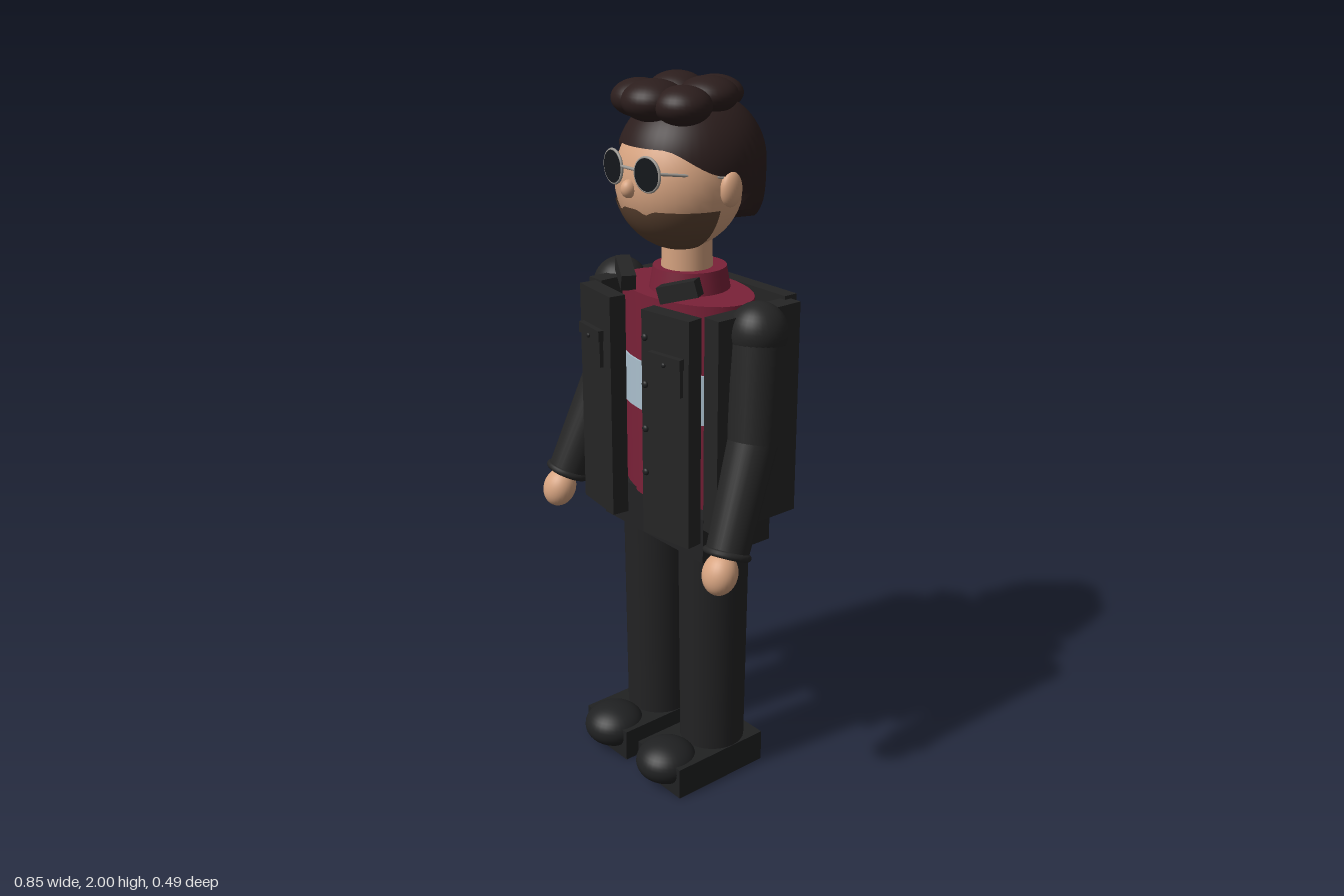
import * as THREE from 'three';
import { ParametricGeometry } from 'three/addons/geometries/ParametricGeometry.js';

const mat = (name, color, side = THREE.FrontSide) => {
  const m = new THREE.MeshStandardMaterial({ color, side });
  m.name = name;
  return m;
};

export function createModel() {
  const jacket = mat('jacket black', 0x252525);
  const trousers = mat('trouser black', 0x232324);
  const shoe = mat('shoe black', 0x202122);
  const red = mat('shirt red', 0x7a2138);
  const blue = mat('stripe pale blue', 0xabc0ce);
  const skin = mat('skin', 0xd6a380);
  const hair = mat('hair brown', 0x2c1e1d, THREE.DoubleSide);
  const beardMat = mat('beard brown', 0x5e4432, THREE.DoubleSide);
  const lens = mat('lens black', 0x14171b);
  const metal = mat('rim silver', 0x9a9690);

  const model = new THREE.Group();
  model.name = 'figure';

  const add = (name, geo, material, pos = [0, 0, 0], parent = model) => {
    const m = new THREE.Mesh(geo, material);
    m.name = name;
    m.position.set(...pos);
    parent.add(m);
    return m;
  };
  const box = (name, size, pos, material, parent) =>
    add(name, new THREE.BoxGeometry(...size), material, pos, parent);
  const ball = (name, radii, pos, material, parent) => {
    const m = add(name, new THREE.SphereGeometry(1, 32, 20), material, pos, parent);
    m.scale.set(...radii);
    return m;
  };
  const post = (name, rTop, rBottom, y0, y1, z, material, x = 0) =>
    add(name, new THREE.CylinderGeometry(rTop, rBottom, y1 - y0, 32), material, [x, (y0 + y1) / 2, z]);
  // Tapered limb from point a to point b
  const limb = (name, a, b, ra, rb, material) => {
    const A = new THREE.Vector3(...a), B = new THREE.Vector3(...b);
    const dir = A.clone().sub(B);
    const m = add(name, new THREE.CylinderGeometry(ra, rb, dir.length(), 28), material,
      A.add(B).multiplyScalar(0.5).toArray());
    m.quaternion.setFromUnitVectors(new THREE.Vector3(0, 1, 0), dir.normalize());
    return m;
  };

  // Pelvis, torso, chest stripe and roll collar
  box('pelvis', [0.44, 0.13, 0.245], [0, 0.795, -0.022], trousers);
  post('shirt', 0.225, 0.215, 0.85, 1.44, -0.025, red).scale.z = 0.62;
  post('chestStripe', 0.227, 0.225, 1.11, 1.25, -0.025, blue).scale.z = 0.63;
  post('shirtCollar', 0.1, 0.112, 1.43, 1.5, -0.035, red);
  post('neck', 0.068, 0.07, 1.46, 1.6, -0.025, skin);

  // Jacket back
  box('jacketBack', [0.475, 0.63, 0.042], [0, 1.125, -0.185], jacket);

  for (const s of [1, -1]) {
    const side = s > 0 ? 'left' : 'right';

    // Legs and shoes
    post(side + 'Leg', 0.1, 0.094, 0.05, 0.78, -0.02, trousers, s * 0.125);
    box(side + 'Sole', [0.192, 0.095, 0.315], [s * 0.125, 0.0475, 0.025], shoe);
    ball(side + 'Toe', [0.088, 0.062, 0.09], [s * 0.125, 0.072, 0.153], shoe);

    // Jacket side and front panels with pocket
    box(side + 'JacketSide', [0.055, 0.6, 0.285], [s * 0.247, 1.13, -0.043], jacket);
    const front = new THREE.Group();
    front.name = side + 'JacketFront';
    front.position.set(s * 0.147, 1.115, 0.15);
    front.rotation.y = s * 0.14;
    model.add(front);
    box('panel', [0.166, 0.635, 0.048], [0, 0, 0], jacket, front);
    box('pocket', [0.105, 0.1, 0.014], [s * 0.01, 0.16, 0.028], jacket, front);
    box('pocketFlap', [0.112, 0.03, 0.02], [s * 0.01, 0.2, 0.03], jacket, front);
    ball('pocketButton', [0.007, 0.007, 0.005], [s * 0.01, 0.19, 0.041], shoe, front);
    if (s > 0) for (const y of [0.245, 0.115, -0.01, -0.135])
      ball('frontButton', [0.01, 0.01, 0.007], [-0.07, y, 0.026], shoe, front);

    // Upturned lapel
    box(side + 'Lapel', [0.11, 0.045, 0.04], [s * 0.115, 1.475, 0.095], jacket)
      .rotation.set(0, s * 0.5, s * 0.28);

    // Arm, cuff and hand
    const shoulder = [s * 0.29, 1.385, -0.022];
    const elbow = [s * 0.322, 1.1, 0.018];
    const wrist = [s * 0.358, 0.825, 0.135];
    ball(side + 'Shoulder', [0.079, 0.079, 0.079], shoulder, jacket);
    limb(side + 'UpperArm', shoulder, elbow, 0.073, 0.067, jacket);
    ball(side + 'Elbow', [0.067, 0.067, 0.067], elbow, jacket);
    const fore = limb(side + 'Forearm', elbow, wrist, 0.067, 0.058, jacket);
    const cuff = add(side + 'Cuff', new THREE.TorusGeometry(0.056, 0.01, 10, 32).rotateX(Math.PI / 2), jacket, wrist);
    cuff.quaternion.copy(fore.quaternion);
    const hand = ball(side + 'Hand', [0.05, 0.058, 0.046], [s * 0.363, 0.777, 0.163], skin);
    hand.quaternion.copy(fore.quaternion);

    // Ear, round dark lens and temple
    ball(side + 'Ear', [0.022, 0.046, 0.033], [s * 0.18, 1.735, -0.02], skin);
    const glass = new THREE.Group();
    glass.name = side + 'Glass';
    glass.position.set(s * 0.07, 1.778, 0.163);
    glass.rotation.y = s * 0.12;
    model.add(glass);
    add('lens', new THREE.CylinderGeometry(0.042, 0.042, 0.008, 32).rotateX(Math.PI / 2), lens, [0, 0, 0], glass);
    add('rim', new THREE.TorusGeometry(0.043, 0.004, 8, 36), metal, [0, 0, 0], glass);
    limb(side + 'Temple', [s * 0.112, 1.785, 0.157], [s * 0.18, 1.765, -0.01], 0.004, 0.004, metal);
  }
  limb('glassesBridge', [-0.03, 1.785, 0.168], [0.03, 1.785, 0.168], 0.004, 0.004, metal);

  // Head and nose
  ball('head', [0.177, 0.182, 0.168], [0, 1.737, 0], skin);
  ball('nose', [0.02, 0.024, 0.022], [0, 1.732, 0.168], skin);

  // Shell over an ellipsoid between two heights that vary with the angle from the front
  const shell = (c, r, span, low, high, power) => new ParametricGeometry((u, v, out) => {
    const a = (u - 0.5) * span;
    const lo = low(Math.abs(a)), hi = high(Math.abs(a));
    const inner = power && v < 0.03; // folded-in lower rim
    const t0 = Math.asin((lo - c[1]) / r[1]), t1 = Math.asin(Math.min(1, (hi - c[1]) / r[1]));
    const h = Math.sin(t0 + (t1 - t0) * (inner ? 0 : v));
    let f = Math.sqrt(Math.max(0, 1 - h * h));
    if (power && h < 0) f = Math.pow(1 - h ** 4, power);
    if (inner) f *= 0.72;
    out.set(c[0] + r[0] * f * Math.sin(a), c[1] + r[1] * h, c[2] + r[2] * f * Math.cos(a));
  }, 48, 32);

  const step = THREE.MathUtils.smoothstep;
  const hairline = a => 1.83 - 0.07 * step(a, 0.5, 1.4) - 0.125 * step(a, 1.6, 2.1);
  add('hairCap', shell([0, 1.78, -0.04], [0.186, 0.185, 0.204], Math.PI * 2, hairline, () => 1.965, 0.3), hair);
  const beardTop = a => 1.682 - 0.012 * Math.exp(-(((a - 0.3) / 0.1) ** 2));
  add('beard', shell([0, 1.737, 0], [0.181, 0.186, 0.173], Math.PI * 0.97, () => 1.553, beardTop, 0), beardMat);

  // Curls on the crown: x, y, z, width, height, depth
  const curls = [
    [0, 1.94, 0.085, 0.082, 0.054, 0.085],
    [-0.09, 1.935, 0.06, 0.076, 0.05, 0.075],
    [0.085, 1.935, 0.06, 0.076, 0.05, 0.075],
    [-0.06, 1.95, -0.04, 0.078, 0.048, 0.075],
    [0.065, 1.95, -0.04, 0.08, 0.048, 0.078],
    [0, 1.942, -0.12, 0.08, 0.045, 0.07],
  ];
  for (const [x, y, z, ...r] of curls) ball('curl', r, [x, y + 0.005, z], hair);

  return model;
}
